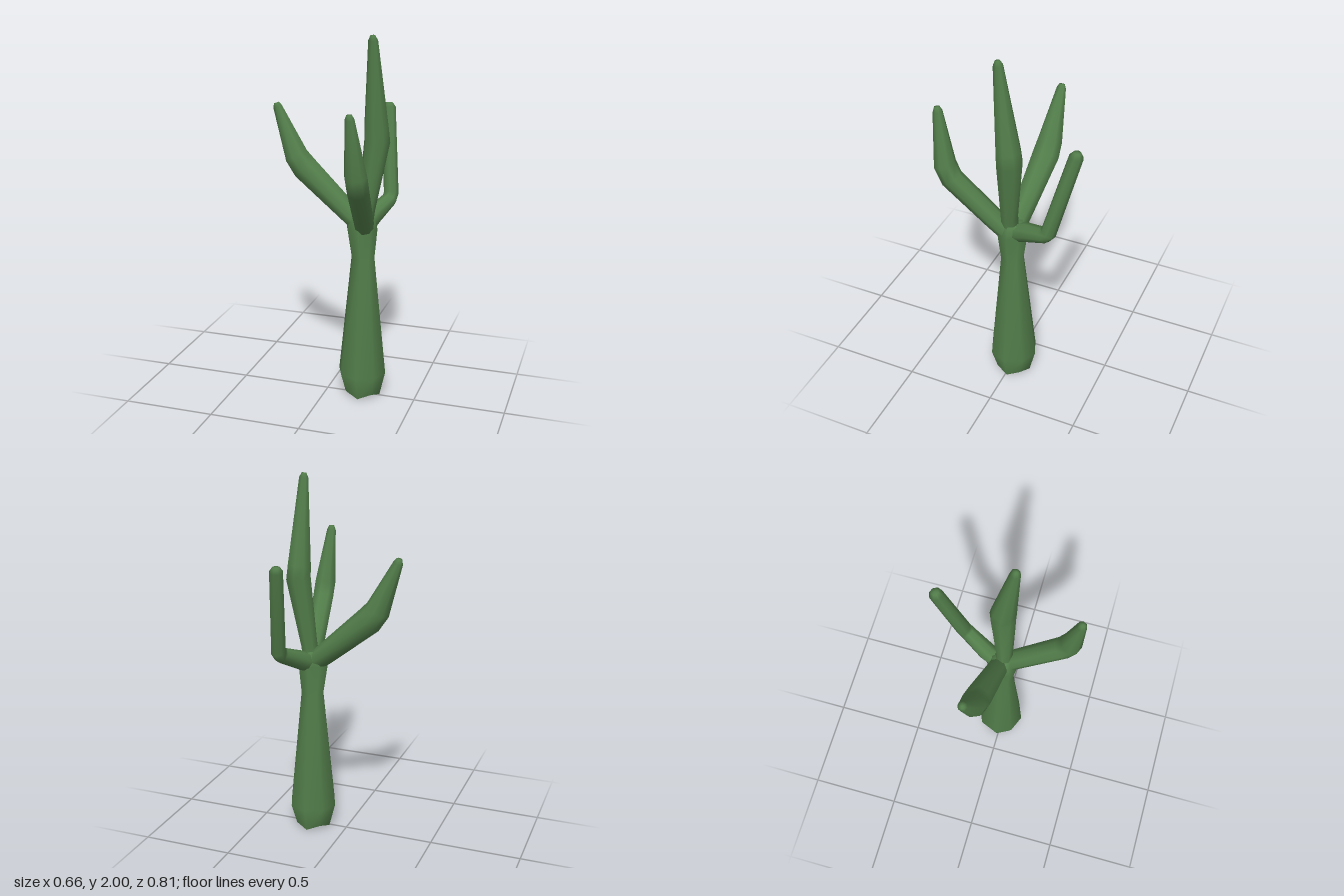
import * as THREE from 'three';

const SIDES = 8;

// Skin of eight-sided rings along a path. Each ring is [x, y, z, radius].
// ref sets where the first corner of each ring points; ends are closed on request.
function limb(rings, ref, capStart, capEnd, tweak) {
  const pts = rings.map(r => new THREE.Vector3(r[0], r[1], r[2]));
  const pos = [], index = [];
  pts.forEach((p, k) => {
    const before = pts[Math.max(k - 1, 0)], after = pts[Math.min(k + 1, pts.length - 1)];
    const t = new THREE.Vector3();
    if (k > 0) t.add(p.clone().sub(before).normalize());
    if (k < pts.length - 1) t.add(after.clone().sub(p).normalize());
    t.normalize();
    const u = ref.clone().addScaledVector(t, -t.dot(ref)).normalize();
    const v = t.clone().cross(u);
    for (let i = 0; i < SIDES; i++) {
      const a = i / SIDES * Math.PI * 2;
      const q = p.clone().addScaledVector(u, Math.cos(a) * rings[k][3])
        .addScaledVector(v, Math.sin(a) * rings[k][3]);
      if (tweak) tweak(q, k, i);
      pos.push(q.x, q.y, q.z);
    }
  });
  for (let k = 0; k < rings.length - 1; k++) {
    for (let i = 0; i < SIDES; i++) {
      const j = (i + 1) % SIDES, a = k * SIDES, b = a + SIDES;
      index.push(a + i, a + j, b + j, a + i, b + j, b + i);
    }
  }
  const cap = (k, flip) => {
    const c = pos.length / 3, a = k * SIDES;
    pos.push(...pts[k].toArray());
    for (let i = 0; i < SIDES; i++) {
      const j = (i + 1) % SIDES;
      if (flip) index.push(c, a + j, a + i);
      else index.push(c, a + i, a + j);
    }
  };
  if (capStart) cap(0, true);
  if (capEnd) cap(rings.length - 1, false);
  const g = new THREE.BufferGeometry();
  g.setAttribute('position', new THREE.Float32BufferAttribute(pos, 3));
  g.setIndex(index);
  g.computeVertexNormals();
  return g;
}

export function createModel() {
  const group = new THREE.Group();
  const green = new THREE.MeshStandardMaterial({ color: 0x527d4a });
  green.name = 'cactusGreen';
  const add = (name, geometry) => {
    const mesh = new THREE.Mesh(geometry, green);
    mesh.name = name;
    group.add(mesh);
  };
  const X = new THREE.Vector3(1, 0, 0), Z = new THREE.Vector3(0, 0, 1);

  // Trunk: swollen foot, narrow neck, flared crown; the foot's rim is notched
  const notch = (q, k, i) => { if (k === 0) q.y = i % 2 ? 0.028 : 0.005; };
  add('trunk', limb([
    [0.2, 0.01, -0.01, 0.1], [0.198, 0.14, -0.01, 0.133],
    [0.197, 0.81, -0.006, 0.064], [0.19, 0.98, -0.006, 0.086],
    [0.2, 1.05, -0.01, 0.056],
  ], X, false, true, notch));

  // Underside: separate so that its edge stays sharp
  const sole = limb([[0.2, 0.03, -0.01, 0.1], [0.2, 0.06, -0.01, 0.001]], X, false, false, notch);
  sole.setIndex(Array.from(sole.index.array).reverse());
  sole.computeVertexNormals();
  add('trunkUnderside', sole);

  // Tall upright arm
  add('topArm', limb([
    [0.2, 0.98, 0, 0.05], [0.215, 1.08, 0, 0.047],
    [0.262, 1.45, -0.025, 0.07], [0.259, 1.52, -0.018, 0.066],
    [0.249, 1.975, 0.034, 0.026], [0.248, 2.0, 0.037, 0.013],
  ], X, false, true));

  // Arm on the model's right
  add('rightArm', limb([
    [0.21, 0.965, -0.015, 0.05], [0.13, 1.03, -0.022, 0.058],
    [-0.143, 1.265, -0.05, 0.075], [-0.195, 1.33, -0.053, 0.068],
    [-0.305, 1.59, -0.066, 0.026], [-0.312, 1.611, -0.067, 0.015],
  ], Z, false, true));

  // Front arm
  add('frontArm', limb([
    [0.205, 0.96, 0, 0.05], [0.22, 1.04, 0.075, 0.056],
    [0.255, 1.265, 0.305, 0.06], [0.255, 1.345, 0.342, 0.06],
    [0.232, 1.635, 0.38, 0.026], [0.231, 1.66, 0.383, 0.015],
  ], X, false, true));

  // Back arm
  add('backArm', limb([
    [0.205, 0.98, -0.02, 0.05], [0.225, 1.02, -0.1, 0.052],
    [0.28, 1.08, -0.225, 0.043], [0.285, 1.11, -0.25, 0.042],
    [0.235, 1.565, -0.366, 0.037], [0.234, 1.59, -0.37, 0.02],
  ], X, false, true));

  return group;
}
